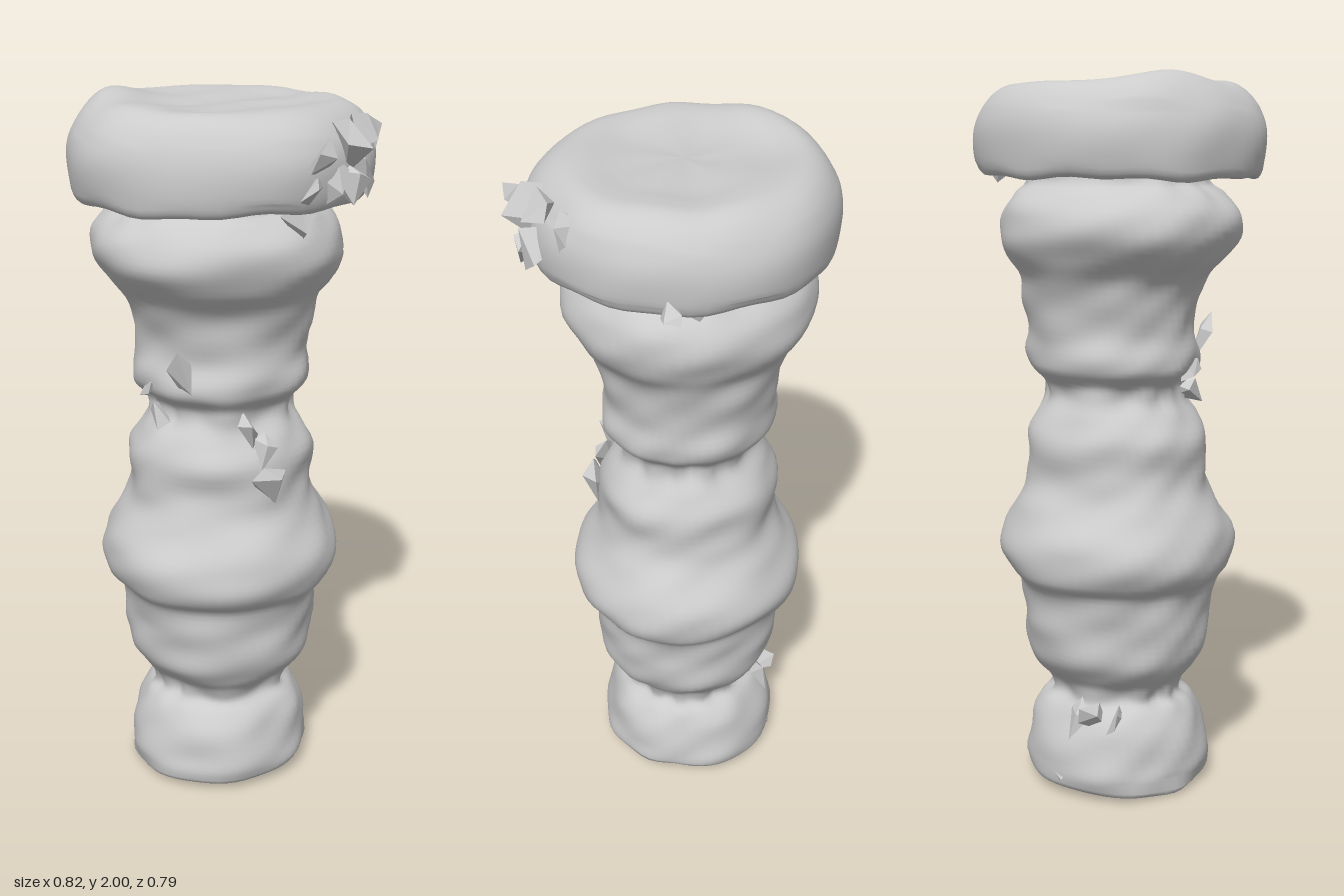
import * as THREE from 'three';
import { mergeVertices } from 'three/addons/utils/BufferGeometryUtils.js';

const material = new THREE.MeshStandardMaterial({ color: 0xcccccc, roughness: 0.9 });
const shardMaterial = new THREE.MeshStandardMaterial({
  color: 0xcccccc, roughness: 0.9, flatShading: true, side: THREE.DoubleSide,
});

// Seamless lumps around the axis: whole-number angular waves drifting with height
function lumps(a, y) {
  return 0.3 * Math.sin(5 * a - 7 * y + 1.9) + 0.2 * Math.sin(3 * a + 13 * y)
    + 0.25 * Math.sin(8 * a + 11 * y + 2.2) + 0.25 * Math.sin(4 * a - 37 * y + 0.8)
    + 0.3 * Math.sin(7 * a + 53 * y + 2 * Math.sin(2 * a));
}

// Smooth bump of height 1 around a centre
const bump = (t, centre, width) => Math.exp(-(((t - centre) / width) ** 2));

// Turns a rough [radius, height] profile, then displaces it by rule(vertex, angle, radius)
function roughLathe(profile, steps, rule) {
  const curve = new THREE.CatmullRomCurve3(
    profile.map(([r, y]) => new THREE.Vector3(r, y, 0)), false, 'centripetal');
  const points = curve.getPoints(steps).map(p => new THREE.Vector2(Math.max(0, p.x), p.y));
  let geometry = new THREE.LatheGeometry(points, 60);
  geometry.deleteAttribute('uv');
  geometry.deleteAttribute('normal');
  geometry = mergeVertices(geometry, 1e-4);
  const pos = geometry.attributes.position;
  const v = new THREE.Vector3();
  for (let i = 0; i < pos.count; i++) {
    v.fromBufferAttribute(pos, i);
    rule(v, Math.atan2(v.z, v.x), Math.hypot(v.x, v.z));
    pos.setXYZ(i, v.x, v.y, v.z);
  }
  geometry.computeVertexNormals();
  return geometry;
}

// Pinched pleats close to the narrow necks
function pleats(a, y) {
  const near = [0.27, 1.14, 1.7].reduce((s, n) => s + bump(y, n, 0.04), 0);
  return near * 0.007 * Math.sin(11 * a + 3 * Math.sin(2 * a + 1));
}

// A bent, broken chip: a lopsided double wedge
function shard([x, y, z, width, height, turn]) {
  const geometry = new THREE.OctahedronGeometry(1, 0);
  const pos = geometry.attributes.position;
  for (let i = 0; i < pos.count; i++) {
    const px = pos.getX(i), py = pos.getY(i), pz = pos.getZ(i);
    pos.setXYZ(i, px + 0.4 * py, py + 0.5 * px * px - 0.4 * pz, pz * 0.75 + 0.35 * px);
  }
  const mesh = new THREE.Mesh(geometry, shardMaterial);
  mesh.scale.set(width * 0.55, height * 0.55, width * 0.55);
  mesh.position.set(x, y, z);
  mesh.rotation.set(0.4 * Math.sin(turn * 3), turn, 0.4 * Math.cos(turn * 2));
  return mesh;
}

function shardGroup(name, list) {
  const group = new THREE.Group();
  group.name = name;
  list.forEach(s => group.add(shard(s)));
  return group;
}

export function createModel() {
  const model = new THREE.Group();
  model.name = 'stonePillar';

  // Turned shaft, from base foot to upper bulge
  const shaftProfile = [
    [0, 0.025], [0.14, 0.02], [0.25, 0.02], [0.264, 0.05], [0.26, 0.1], [0.246, 0.18],
    [0.22, 0.23], [0.19, 0.26], [0.2, 0.3], [0.235, 0.34], [0.265, 0.39], [0.273, 0.46],
    [0.278, 0.52], [0.29, 0.59], [0.325, 0.63], [0.343, 0.68], [0.335, 0.74], [0.297, 0.81],
    [0.266, 0.87], [0.256, 0.93], [0.26, 1.01], [0.23, 1.07], [0.2, 1.12], [0.203, 1.16],
    [0.24, 1.2], [0.248, 1.24], [0.238, 1.3], [0.25, 1.38], [0.27, 1.45], [0.315, 1.51],
    [0.343, 1.57], [0.335, 1.63], [0.295, 1.68], [0.255, 1.71], [0.25, 1.79],
  ];
  const shaft = new THREE.Mesh(roughLathe(shaftProfile, 130, (v, a, r) => {
    if (v.y < 0.04) v.y += 0.06 * v.x - 0.004 + 0.005 * Math.sin(14 * v.z + 9 * v.x);
    const k = r < 0.02 ? 1 : 1 + (0.0085 * lumps(a, v.y) + pleats(a, v.y)) / Math.max(r, 0.1);
    // The axis wanders: waist to the right and back, upper bulge to the left
    const waist = bump(v.y, 1.36, 0.14), bulge = bump(v.y, 1.6, 0.1), foot = bump(v.y, 0.08, 0.12);
    v.x = v.x * k - 0.006 + 0.01 * waist - 0.012 * bulge - 0.006 * foot;
    v.z = v.z * k * (0.965 + 0.035 * foot) - 0.012 - 0.013 * waist + 0.004 * bulge;
  }), material);
  shaft.name = 'shaft';
  model.add(shaft);

  // Wide cap with sharp lower lip, bevelled rim and an almost flat top
  const capProfile = [
    [0.2, 1.75], [0.28, 1.745], [0.35, 1.733], [0.385, 1.727], [0.4, 1.745], [0.41, 1.8],
    [0.407, 1.855], [0.388, 1.905], [0.355, 1.945], [0.315, 1.966], [0.265, 1.968],
    [0.2, 1.961], [0.1, 1.956], [0, 1.955],
  ];
  const cap = new THREE.Mesh(roughLathe(capProfile, 56, (v, a, r) => {
    const k = r < 0.02 ? 1 : 1 + 0.014 * lumps(a, v.y * 0.5);
    if (v.y < 1.765) v.y += (0.004 * Math.sin(5 * a + 1) + 0.004 * Math.sin(11 * a)) * r / 0.4 + 0.02 * v.x;
    if (v.y > 1.9) {
      // Gentle unevenness, with the left corner standing proud
      const peak = bump(v.x, -0.28, 0.09) * bump(v.z, -0.04, 0.12);
      v.y += 0.024 * peak + 0.005 * Math.sin(17 * v.x + 9 * v.z) * Math.cos(19 * v.z)
        + 0.004 * Math.sin(5 * a + 2) * r / 0.4;
    }
    v.x = v.x * k - 0.004;
    v.z = v.z * k * 0.965;
  }), material);
  cap.name = 'cap';
  model.add(cap);

  // Chips, each [x, y, z, width, height, turn]
  model.add(shardGroup('capShards', [
    [0.37, 1.87, 0.07, 0.09, 0.14, 0.4], [0.355, 1.91, 0.18, 0.1, 0.1, 1.2],
    [0.35, 1.81, 0.19, 0.1, 0.12, 2.1], [0.31, 1.88, 0.24, 0.11, 0.13, 2.9],
    [0.32, 1.79, 0.25, 0.09, 0.09, 3.7], [0.27, 1.8, 0.28, 0.09, 0.1, 0.9],
    [0.24, 1.85, 0.32, 0.1, 0.13, 4.6], [0.22, 1.78, 0.33, 0.08, 0.08, 5.3],
    [0.2, 1.69, 0.22, 0.08, 0.1, 0.2], [0.36, 1.75, -0.2, 0.06, 0.05, 1.7],
    [0.27, 1.74, -0.22, 0.08, 0.06, 2.6],
  ]));
  model.add(shardGroup('waistShards', [
    [-0.1, 1.26, 0.205, 0.06, 0.17, 0.3], [-0.17, 1.13, 0.12, 0.07, 0.09, 1.4],
    [0.07, 1.11, 0.185, 0.08, 0.09, 2.2], [0.11, 1.05, 0.2, 0.06, 0.1, 3.4],
    [0.13, 0.96, 0.215, 0.1, 0.11, 4.1], [-0.2, 1.2, 0.1, 0.06, 0.08, 5.0],
  ]));
  model.add(shardGroup('baseShards', [
    [-0.1, 0.2, -0.22, 0.06, 0.15, 0.6], [-0.15, 0.22, -0.18, 0.07, 0.14, 1.8],
    [-0.19, 0.2, -0.14, 0.07, 0.12, 2.9], [-0.08, 0.06, -0.25, 0.06, 0.06, 4.0],
  ]));
  return model;
}
